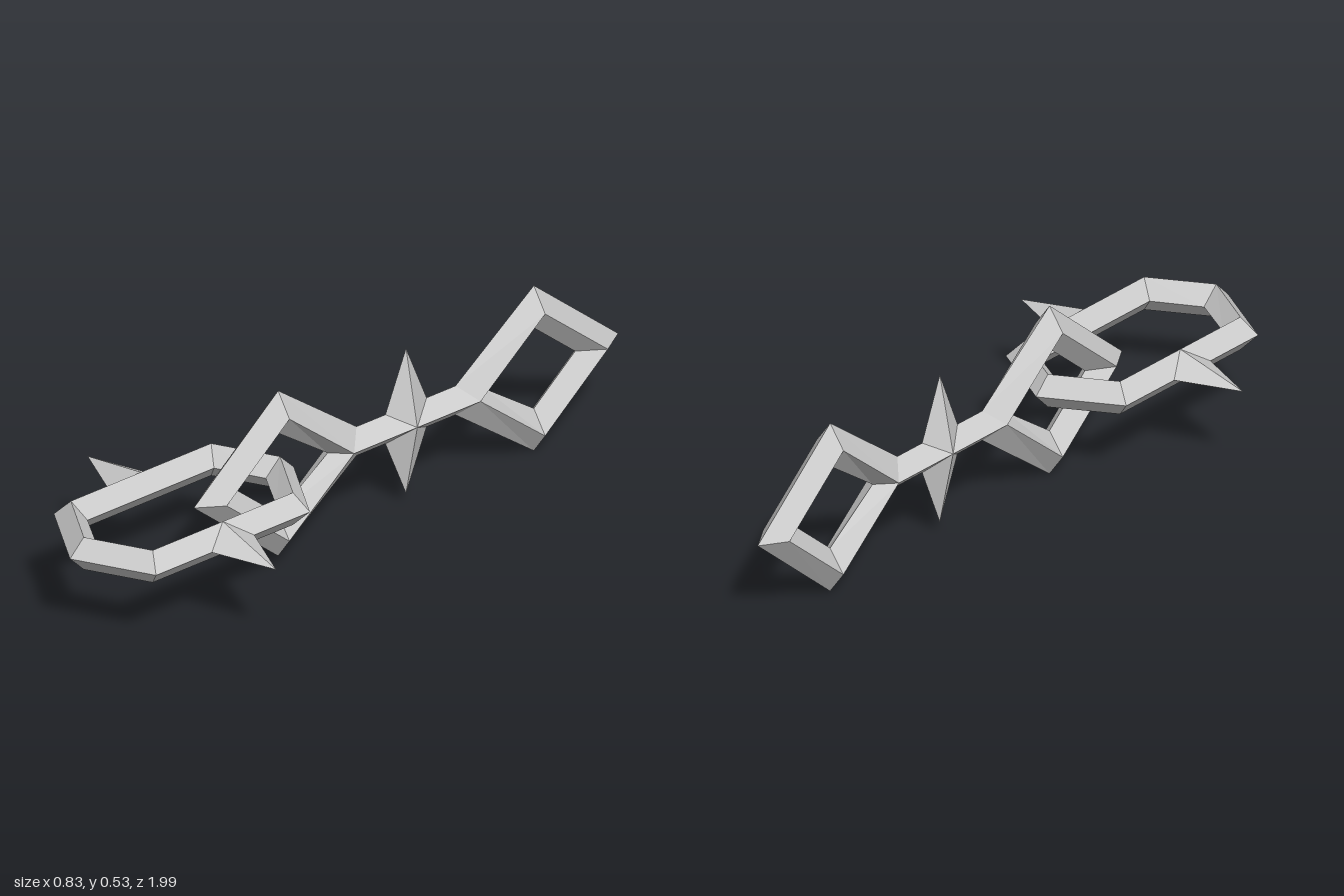
import * as THREE from 'three';

const material = new THREE.MeshStandardMaterial({ color: 0xcccccc, flatShading: true });

function meshFrom(name, triangles) {
  const geometry = new THREE.BufferGeometry();
  geometry.setAttribute('position', new THREE.Float32BufferAttribute(triangles.flat(2), 3));
  geometry.computeVertexNormals();
  const mesh = new THREE.Mesh(geometry, material);
  mesh.name = name;
  return mesh;
}

// Four-sided bar lofted clockwise in the local XY plane.
// Each station is [outer, ridge, inner]; the ridge stands out by +-thick in z.
function diamondBar(name, stations, thick, closed) {
  const rings = stations.map(([o, r, i]) => [[...o, 0], [...r, thick], [...i, 0], [...r, -thick]]);
  const triangles = [];
  const count = closed ? rings.length : rings.length - 1;
  for (let s = 0; s < count; s++) {
    const p = rings[s], q = rings[(s + 1) % rings.length];
    for (let k = 0; k < 4; k++) {
      const n = (k + 1) % 4;
      triangles.push([p[k], p[n], q[n]], [p[k], q[n], q[k]]);
    }
  }
  return meshFrom(name, triangles);
}

// Spike along +y whose base saddles the bar's outer edge and both ridges.
function spike(name, tipY, halfLength, outerY, ridgeY, thick) {
  const tip = [0, tipY, 0];
  const base = [[halfLength, outerY, 0], [0, ridgeY, thick], [-halfLength, outerY, 0], [0, ridgeY, -thick]];
  return meshFrom(name, base.map((c, k) => [c, tip, base[(k + 1) % 4]]));
}

const flip = (station, sx, sy) => station.map(([x, y]) => [x * sx, y * sy]);

// Flat six-sided link with a spike on each long side
function createHexLink() {
  const link = new THREE.Group();
  link.name = 'hexagonalLink';
  const end = [[0, 0.407], [0, 0.357], [0, 0.305]];
  const corner = [[0.225, 0.28], [0.18, 0.255], [0.137, 0.23]];
  link.add(diamondBar('hexagonalRing', [
    end, corner, flip(corner, 1, -1), flip(end, 1, -1), flip(corner, -1, -1), flip(corner, -1, 1),
  ], 0.052, true));
  for (const side of [1, -1]) {
    const s = spike(side > 0 ? 'leftSpike' : 'rightSpike', 0.415, 0.077, 0.225, 0.18, 0.052);
    s.rotation.z = -side * Math.PI / 2;
    link.add(s);
  }
  link.rotation.x = Math.PI / 2;
  link.position.set(0, 0.27, 0.59);
  return link;
}

// Upright link: two diamond loops joined by a narrow spiked waist
function createDoubleLink() {
  const link = new THREE.Group();
  link.name = 'doubleDiamondLink';
  const half = [
    [[0.772, 0], [0.693, 0], [0.615, 0]],               // tip
    [[0.465, 0.267], [0.465, 0.197], [0.465, 0.13]],    // peak
    [[0.18, 0.047], [0.23, 0], [0.285, 0]],             // waist
  ];
  const stations = [...half.map((s) => flip(s, -1, 1)), ...half.slice().reverse()];
  for (const upper of [true, false]) {
    const part = new THREE.Group();
    part.name = upper ? 'upperHalf' : 'lowerHalf';
    part.add(diamondBar('loopStrand', stations, 0.05, false));
    part.add(spike('waistSpike', 0.234, 0.075, 0.047, 0, 0.05));
    if (!upper) part.rotation.z = Math.PI;
    link.add(part);
  }
  link.rotation.y = Math.PI / 2;
  link.position.set(0, 0.27, -0.225);
  return link;
}

export function createModel() {
  const model = new THREE.Group();
  model.name = 'spikedChainLinks';
  model.add(createHexLink(), createDoubleLink());
  return model;
}
